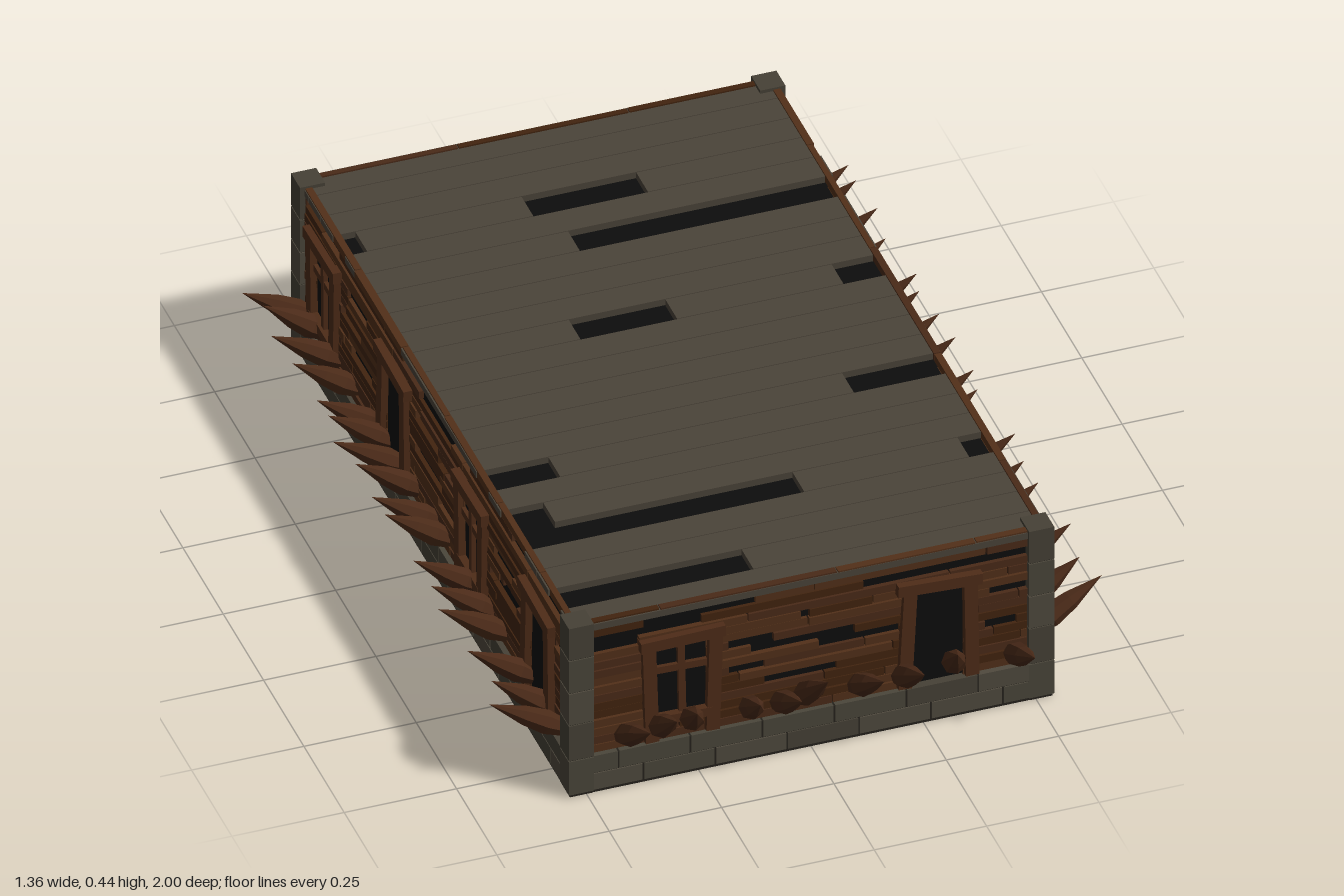
import * as THREE from 'three';

const mat = (color, extra = {}) => new THREE.MeshStandardMaterial({ color, flatShading: true, ...extra });
const STONE = [mat(0x4b463a), mat(0x464136), mat(0x504a3e)];
const WOOD = [mat(0x4a2a18), mat(0x42240f), mat(0x523019)];
const FRAME = mat(0x4e2c18);
const ROOF = mat(0x4b4439);
const DARK = mat(0x0d0d0d);
const MORTAR = mat(0x25221c);
const SPIKE = mat(0x4a2a18);

const X = 0.54, Z = 0.862, BASE = 0.095, TOP = 0.435, POST = 0.056;

let seed = 7;
const rand = () => (seed = (seed * 16807) % 2147483647) / 2147483647;

// Box given by its limits
function box(parent, name, material, x0, x1, y0, y1, z0, z1, roll = 0) {
  const mesh = new THREE.Mesh(new THREE.BoxGeometry(x1 - x0, y1 - y0, z1 - z0), material);
  mesh.position.set((x0 + x1) / 2, (y0 + y1) / 2, (z0 + z1) / 2);
  mesh.rotation.z = roll;
  mesh.name = name;
  parent.add(mesh);
  return mesh;
}

// What is left of a line after the gaps are cut out
function remaining(a, b, gaps) {
  const out = [];
  let x = a;
  for (const [g0, g1] of [...gaps].sort((p, q) => p[0] - q[0])) {
    if (g0 > x + 0.004) out.push([x, Math.min(g0, b)]);
    x = Math.max(x, g1);
  }
  if (x < b - 0.004) out.push([x, b]);
  return out;
}

// Crooked timber surround, with crossed bars for a window
function opening(parent, u, z, isWindow) {
  const g = new THREE.Group();
  g.name = isWindow ? 'window' : 'doorway';
  g.position.set(u, 0, z);
  const w = 0.056, bottom = isWindow ? 0.145 : 0.1;
  box(g, 'opening', DARK, -w, w, bottom, 0.345, -0.014, -0.002);
  box(g, 'jamb', FRAME, -w - 0.03, -w, 0.1, 0.345, -0.01, 0.014, isWindow ? 0.03 : -0.05);
  box(g, 'jamb', FRAME, w, w + 0.03, 0.1, 0.345, -0.01, 0.014, isWindow ? -0.03 : 0.015);
  box(g, 'lintel', FRAME, -w - 0.038, w + 0.038, 0.338, 0.365, -0.01, 0.018, isWindow ? 0.02 : -0.05);
  if (isWindow) {
    box(g, 'sill', FRAME, -w - 0.01, w + 0.01, 0.14, 0.162, -0.01, 0.015, -0.02);
    box(g, 'upright bar', FRAME, -0.008, 0.008, 0.15, 0.345, -0.01, 0.008, 0.02);
    box(g, 'cross bar', FRAME, -w, w, 0.268, 0.285, -0.01, 0.007, -0.03);
  }
  parent.add(g);
}

// Plank wall on a brick footing; holes are [row, start, end]
function wall(name, half, depth, angle, holes, openings) {
  const g = new THREE.Group();
  g.name = name;
  const inner = half - POST, rows = 16, h = (TOP - BASE) / rows, face = depth - 0.012;
  for (let r = 0; r < rows; r++) {
    const y = BASE + r * h;
    const gaps = holes.filter(k => k[0] === r).map(k => [k[1], k[2]]);
    for (const [u, win] of openings)
      if (y < 0.34 && (!win || y > 0.14)) gaps.push([u - 0.056, u + 0.056]);
    // plank joints
    for (let u = -inner + 0.1 + rand() * 0.25; u < inner; u += 0.25 + rand() * 0.2)
      gaps.push([u - 0.0015, u + 0.0015]);
    for (const [a, b] of remaining(-inner, inner, gaps))
      box(g, 'wall plank', WOOD[Math.floor(rand() * 3)], a, b, y + 0.001, y + h - 0.0015,
        face - 0.015, face + (rand() - 0.5) * 0.005);
  }
  for (const [u, win] of openings) opening(g, u, face, win);
  // staggered footing bricks
  for (let r = 0; r < 2; r++) {
    const joints = [];
    for (let u = -inner + (r ? 0.055 : 0.11); u < inner; u += 0.16) joints.push([u - 0.002, u + 0.002]);
    for (const [a, b] of remaining(-inner, inner, joints))
      box(g, 'footing brick', STONE[Math.floor(rand() * 3)], a, b,
        0.008 + r * 0.044, 0.049 + r * 0.046, depth - 0.04, depth - 0.001);
  }
  g.rotation.y = angle;
  return g;
}

const spikeGeometry = new THREE.LatheGeometry(
  [[0, 0], [0.017, 0], [0.027, 0.055], [0.021, 0.11], [0, 0.195]].map(p => new THREE.Vector2(...p)), 7);

// Sharpened stake from a root to a tip
function spike(parent, root, tip) {
  const mesh = new THREE.Mesh(spikeGeometry, SPIKE);
  const dir = tip.clone().sub(root);
  mesh.scale.y = dir.length() / 0.195;
  mesh.position.copy(root);
  mesh.quaternion.setFromUnitVectors(new THREE.Vector3(0, 1, 0), dir.normalize());
  mesh.name = 'spike';
  parent.add(mesh);
}

export function createModel() {
  seed = 7;
  const model = new THREE.Group();
  model.name = 'fortified plank building';

  // Dark interior and footing core
  box(model, 'interior', DARK, -X + 0.022, X - 0.022, 0.09, 0.412, -Z + 0.022, Z - 0.022);
  box(model, 'footing core', MORTAR, -X + 0.004, X - 0.004, 0, 0.091, -Z + 0.004, Z - 0.004);

  // Walls, the same on opposite sides by half a turn
  const shortHoles = [[14, -0.37, -0.12], [13, -0.484, -0.24], [12, -0.484, -0.38], [13, 0.12, 0.484],
    [11, -0.02, 0], [8, -0.13, 0.1], [9, -0.18, -0.08], [7, 0.02, 0.2], [6, -0.18, -0.1],
    [9, 0.4, 0.484], [5, 0.39, 0.46], [4, -0.1, 0.06]];
  const longHoles = [[14, -0.8, -0.6], [14, -0.21, 0.21], [14, 0.47, 0.8], [13, -0.1, 0.1], [11, -0.55, -0.43],
    [10, -0.12, 0.02], [9, 0.02, 0.14], [9, 0.36, 0.48], [8, -0.58, -0.46], [6, -0.12, 0.04],
    [6, 0.34, 0.5], [5, -0.52, -0.4], [7, 0.42, 0.54], [4, 0.02, 0.12], [10, 0.74, 0.8]];
  const shortOpenings = [[-0.287, true], [0.285, false]];
  const longOpenings = [[-0.68, true], [-0.243, false], [0.238, true], [0.65, false]];
  model.add(wall('front wall', X, Z, 0, shortHoles, shortOpenings));
  model.add(wall('back wall', X, Z, Math.PI, shortHoles, shortOpenings));
  model.add(wall('left wall', Z, X, Math.PI / 2, longHoles, longOpenings));
  model.add(wall('right wall', Z, X, -Math.PI / 2, longHoles, longOpenings));

  // Corner posts of stacked stone
  const levels = [0.006, BASE, 0.187, 0.27, 0.355, 0.44];
  for (const sx of [-1, 1]) for (const sz of [-1, 1]) {
    const post = new THREE.Group();
    post.name = 'corner post';
    const cx = sx * (X - POST / 2), cz = sz * (Z - POST / 2), r = POST / 2;
    box(post, 'post core', MORTAR, cx - r + 0.003, cx + r - 0.003, 0, 0.436, cz - r + 0.003, cz + r - 0.003);
    for (let i = 0; i < 5; i++)
      box(post, 'post stone', STONE[i % 3], cx - r, cx + r, levels[i] + 0.001, levels[i + 1] - 0.002, cz - r, cz + r);
    model.add(post);
  }

  // Roof planks with missing pieces: row -> gaps in x
  const E = 0.53;
  const roofGaps = {
    3: [[-E, -0.48], [-0.11, 0.145], [0.513, E]], 5: [[-0.06, E]], 9: [[-0.165, 0.05], [0.42, E]],
    14: [[0.31, E]], 15: [[-E, -0.37]], 17: [[-E, -0.435]], 18: [[-E, 0.093], [0.46, E]], 21: [[-E, -0.1]],
  };
  const roof = new THREE.Group();
  roof.name = 'roof';
  const pitch = 2 * (Z - 0.008) / 23;
  for (let r = 0; r < 23; r++) {
    const z = -Z + 0.008 + r * pitch;
    for (const [a, b] of remaining(-E, E, roofGaps[r] || []))
      box(roof, 'roof plank', ROOF, a, b, 0.414, 0.43, z + 0.001, z + pitch - 0.001);
  }
  model.add(roof);

  // Spikes along the ends [root x, tip x, tip z], mirrored front to back
  const spikes = new THREE.Group();
  spikes.name = 'spikes';
  const ends = [[-0.418, -0.4, 0.98], [-0.34, -0.34, 0.975], [-0.262, -0.296, 0.98], [-0.135, -0.15, 0.965],
    [-0.07, -0.07, 0.998], [-0.022, 0, 0.965], [0.1, 0.122, 0.972], [0.2, 0.204, 0.995],
    [0.322, 0.288, 0.965], [0.45, 0.448, 1]];
  ends.forEach(([x0, x1, z], i) => {
    const y = 0.215 + 0.012 * (i % 3);
    for (const s of [-1, 1])
      spike(spikes, new THREE.Vector3(x0, 0.118, s * (Z - 0.025)), new THREE.Vector3(x1, y, s * z));
  });
  // Spikes along the sides [z, tip x], mirrored left to right
  const sides = [[0.77, 0.682], [0.7, 0.655], [0.59, 0.672], [0.415, 0.668], [0.34, 0.66], [0.25, 0.67],
    [0.06, 0.66], [0, 0.67], [-0.115, 0.668], [-0.22, 0.675], [-0.303, 0.658], [-0.355, 0.668],
    [-0.51, 0.66], [-0.61, 0.675], [-0.71, 0.66], [-0.782, 0.675]];
  sides.forEach(([z, x], i) => {
    const y = 0.21 + 0.012 * (i % 3), lean = 0.008 * ((i % 3) - 1);
    for (const s of [-1, 1])
      spike(spikes, new THREE.Vector3(s * (X - 0.025), 0.118, z - lean), new THREE.Vector3(s * x, y, z + lean));
  });
  model.add(spikes);
  return model;
}
